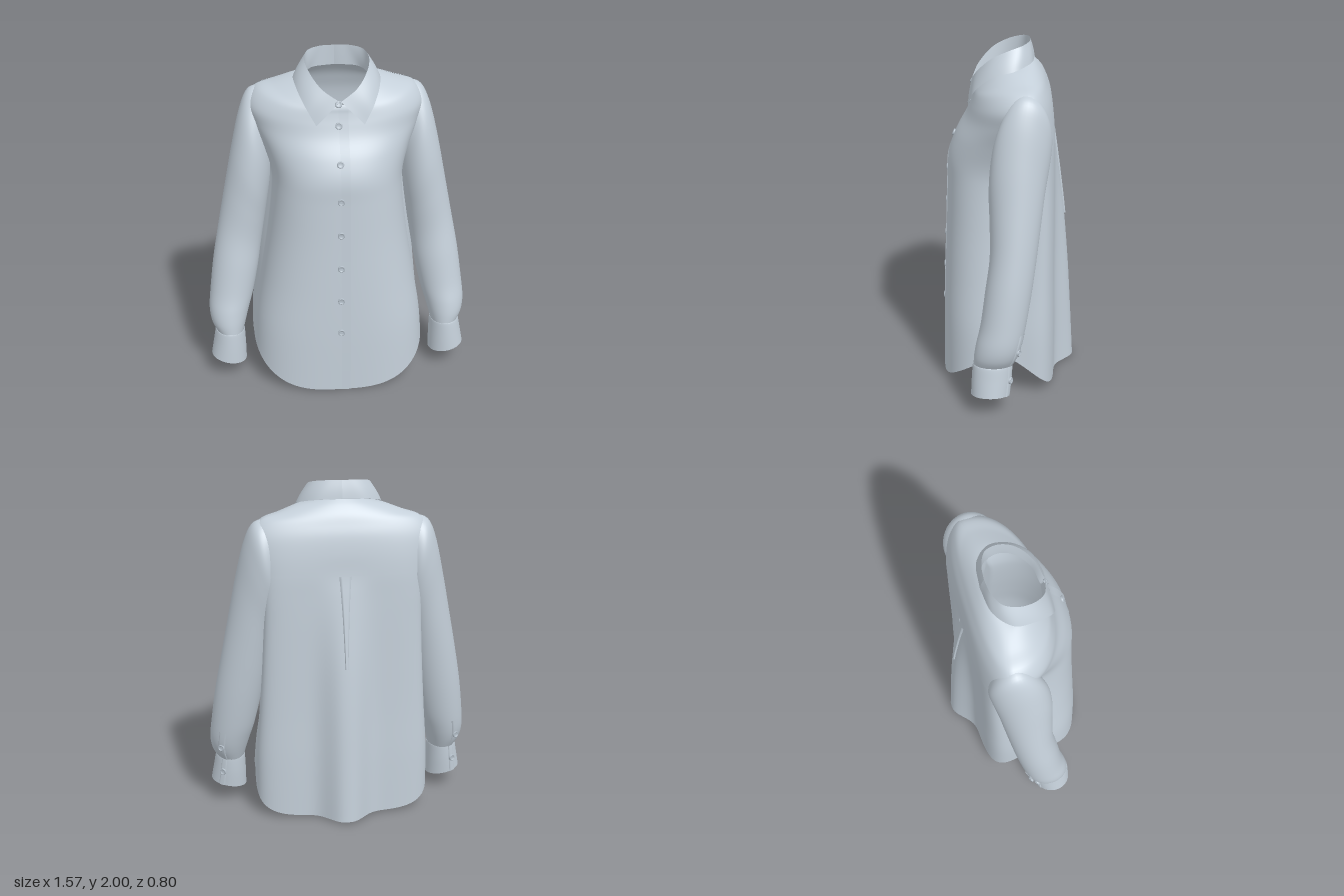
import * as THREE from 'three';

const fabric = new THREE.MeshStandardMaterial({ color: 0xc4cfd9, side: THREE.DoubleSide });
fabric.name = 'pale blue grey fabric';
const buttonMat = new THREE.MeshStandardMaterial({ color: 0xb4bfc9 });
buttonMat.name = 'grey button';

// Grid surface from f(u, v) -> [x, y, z], with u and v in 0..1
function surface(name, f, nu, nv, closed = false) {
  const pos = [], idx = [], cols = closed ? nu : nu + 1;
  for (let j = 0; j <= nv; j++)
    for (let i = 0; i < cols; i++) pos.push(...f(i / nu, j / nv));
  for (let j = 0; j < nv; j++)
    for (let i = 0; i < nu; i++) {
      const a = j * cols + i, b = j * cols + (i + 1) % cols;
      idx.push(a, a + cols, b, b, a + cols, b + cols);
    }
  const g = new THREE.BufferGeometry();
  g.setAttribute('position', new THREE.Float32BufferAttribute(pos, 3));
  g.setIndex(idx);
  g.computeVertexNormals();
  const m = new THREE.Mesh(g, fabric);
  m.name = name;
  return m;
}

// Smooth interpolation through a list of section descriptions
function sectionAt(rows, v) {
  const t = Math.min(Math.max(v, 0), 1) * (rows.length - 1);
  const i = Math.min(Math.floor(t), rows.length - 2), k = t - i;
  const r = (n) => rows[Math.min(Math.max(n, 0), rows.length - 1)];
  return rows[0].map((_, c) => {
    const [p, a, b, q] = [r(i - 1)[c], r(i)[c], r(i + 1)[c], r(i + 2)[c]];
    return a + 0.5 * k * (b - p + k * (2 * p - 5 * a + 4 * b - q + k * (3 * (a - b) + q - p)));
  });
}

// Body: half width side / back, y front / side / back, z front / back / centre,
// roundness front / back, back fullness
const BODY = [
  [0.52, 0.53, 0.00, 0.24, 0.01, 0.400, -0.270, 0.00, 3.0, 4.5, 0.125],
  [0.50, 0.54, 0.35, 0.42, 0.35, 0.395, -0.270, 0.02, 2.8, 4.5, 0.105],
  [0.455, 0.535, 0.65, 0.68, 0.65, 0.385, -0.265, 0.02, 2.6, 4.5, 0.09],
  [0.41, 0.53, 0.95, 0.95, 0.95, 0.372, -0.263, 0.02, 2.5, 4.5, 0.065],
  [0.38, 0.525, 1.20, 1.20, 1.20, 0.362, -0.262, 0.02, 2.5, 4.5, 0.035],
  [0.385, 0.52, 1.34, 1.33, 1.36, 0.355, -0.260, 0.00, 2.4, 4.5, 0.015],
  [0.43, 0.52, 1.46, 1.47, 1.48, 0.315, -0.258, -0.04, 2.3, 4.0, 0],
  [0.49, 0.53, 1.57, 1.60, 1.60, 0.255, -0.250, -0.08, 2.2, 3.2, 0],
  [0.515, 0.52, 1.65, 1.70, 1.70, 0.225, -0.235, -0.10, 2.2, 2.6, 0],
  [0.46, 0.46, 1.70, 1.785, 1.77, 0.210, -0.212, -0.10, 2.2, 2.3, 0],
  [0.36, 0.36, 1.725, 1.82, 1.82, 0.205, -0.190, -0.08, 2.2, 2.2, 0],
  [0.25, 0.25, 1.74, 1.858, 1.865, 0.200, -0.158, -0.045, 2.2, 2.2, 0],
  [0.185, 0.185, 1.75, 1.87, 1.895, 0.195, -0.128, 0.00, 2.2, 2.2, 0],
];
const fold = (x) => Math.exp(-(Math.abs(x / 0.125) ** 2.5));
function bodyPoint(angle, v) {
  const [hw, hwB, yF, yS, yB, zF, zB, zC, nF, nB, full] = sectionAt(BODY, v);
  const c = Math.cos(angle), s = Math.sin(angle), front = s > 0;
  const n = front ? nF : nB;
  const rad = (Math.abs(c) ** n + Math.abs(s) ** n) ** (-1 / n);
  const r = Math.abs(s) * rad;
  if (front) return [hw * c * rad, yS + (yF - yS) * r * r, zC + (zF - zC) * r];
  const x = (hw + (hwB - hw) * r) * c * rad;
  return [x, yS + (yB - yS) * r ** 1.3, zC + (zB - zC) * r - full * fold(x) * r];
}

// Sleeve: outer x, y, inner x, y, z front, z back
const SLEEVE = [
  [0.36, 1.785, 0.35, 1.50, -0.02, -0.17],
  [0.43, 1.79, 0.365, 1.40, 0.025, -0.21],
  [0.505, 1.762, 0.375, 1.31, 0.06, -0.235],
  [0.557, 1.65, 0.39, 1.21, 0.095, -0.225],
  [0.608, 1.44, 0.41, 1.10, 0.11, -0.20],
  [0.657, 1.20, 0.43, 0.98, 0.105, -0.178],
  [0.703, 0.97, 0.455, 0.83, 0.105, -0.155],
  [0.745, 0.75, 0.48, 0.68, 0.13, -0.13],
  [0.773, 0.55, 0.515, 0.52, 0.155, -0.10],
  [0.785, 0.43, 0.545, 0.42, 0.18, -0.075],
  [0.775, 0.35, 0.565, 0.35, 0.193, -0.05],
  [0.745, 0.29, 0.583, 0.283, 0.197, -0.02],
];
const CUFF = [
  [0.745, 0.288, 0.583, 0.280, 0.195, -0.015],
  [0.753, 0.298, 0.577, 0.288, 0.201, -0.022],
  [0.768, 0.220, 0.573, 0.190, 0.208, -0.018],
  [0.785, 0.130, 0.572, 0.085, 0.213, -0.008],
];
function tubePoint(rows, side, angle, v, grow = 1) {
  const [xo, yo, xi, yi, zF, zB] = sectionAt(rows, v);
  const c = Math.cos(angle) * grow / 2, s = Math.sin(angle) * grow / 2;
  return [side * ((xo + xi) / 2 + c * (xo - xi)), (yo + yi) / 2 + c * (yo - yi), (zF + zB) / 2 + s * (zF - zB)];
}

// Rimmed button with a stitch bar, facing along normal
const buttonGeo = new THREE.LatheGeometry(
  [[0.02, 0], [0.02, 0.007], [0.017, 0.01], [0.014, 0.009], [0.011, 0.005], [0, 0.005]].map((p) => new THREE.Vector2(...p)), 20);
const stitchGeo = new THREE.BoxGeometry(0.013, 0.004, 0.003).translate(0, 0.006, 0);
function button(name, p, normal) {
  const g = new THREE.Group();
  g.name = name;
  g.add(new THREE.Mesh(buttonGeo, buttonMat), new THREE.Mesh(stitchGeo, buttonMat));
  g.children[0].name = 'buttonDisc';
  g.children[1].name = 'buttonStitch';
  g.position.set(...p);
  g.quaternion.setFromUnitVectors(new THREE.Vector3(0, 1, 0), normal.normalize());
  return g;
}

export function createModel() {
  const shirt = new THREE.Group();
  shirt.name = 'shirt';
  const TAU = Math.PI * 2;
  shirt.add(surface('body', (u, v) => bodyPoint(u * TAU, v), 144, 72, true));

  // Back yoke, a thin layer over the shoulders
  shirt.add(surface('backYoke', (u, v) => {
    const [x, y, z] = bodyPoint(Math.PI * (1.06 + 0.88 * u), 0.5 + 0.48 * v);
    return [x, y + 0.002, z - 0.003];
  }, 56, 36));

  // Front button band, raised along its overlapping edge
  shirt.add(surface('buttonBand', (u, v) => {
    const [, , y, , , z] = sectionAt(BODY, v);
    return [-0.035 + 0.08 * u, y, z - 0.002 + 0.006 * u];
  }, 8, 72));

  // Back pleat, narrowing downwards
  shirt.add(surface('backPleat', (u, v) => {
    const s = sectionAt(BODY, 0.5 - 0.25 * v);
    const x = (u - 0.5) * 0.075 * (1 - 0.75 * v);
    const edge = u === 0 || u === 1;
    return [x, s[4], s[6] - s[10] * fold(x) - (edge ? -0.004 : 0.008)];
  }, 8, 24));

  // Front buttons
  for (const y of [1.76, 1.64, 1.445, 1.235, 1.03, 0.82, 0.61, 0.4]) {
    let v = 0;
    while (v < 1 && sectionAt(BODY, v)[2] < y) v += 0.002;
    const s = sectionAt(BODY, v), t = sectionAt(BODY, v - 0.02);
    const z = y > 1.7 ? 0.212 : s[5] + 0.001;
    shirt.add(button('frontButton', [-0.01, y, z], new THREE.Vector3(0, t[5] - s[5], s[2] - t[2])));
  }

  // Collar: outer edge, fold line and inner stand, mirrored about the middle
  const curve = (pts) => new THREE.CatmullRomCurve3(pts.map((p) => new THREE.Vector3(...p)));
  const outer = curve([[0.135, 1.645, 0.235], [0.19, 1.74, 0.195], [0.237, 1.83, 0.09], [0.24, 1.865, -0.03], [0.15, 1.892, -0.12], [0, 1.9, -0.144]]);
  const crease = curve([[0.004, 1.775, 0.215], [0.1, 1.84, 0.18], [0.165, 1.92, 0.1], [0.182, 1.965, 0.01], [0.155, 1.99, -0.07], [0.08, 2, -0.11], [0, 2, -0.12]]);
  const stand = curve([[0.004, 1.73, 0.19], [0.1, 1.77, 0.165], [0.165, 1.84, 0.08], [0.178, 1.865, 0], [0.135, 1.88, -0.09], [0, 1.885, -0.125]]);
  for (const side of [1, -1]) {
    const strip = (name, a, b, puff) => shirt.add(surface(name, (u, v) => {
      const p = a.getPoint(u).lerp(b.getPoint(u), v);
      const k = 1 + puff * Math.sin(Math.PI * v);
      return [side * p.x * k, p.y, p.z * k];
    }, 40, 8));
    strip('collarFall', outer, crease, 0.02);
    strip('collarStand', crease, stand, 0);
  }

  // Sleeves, cuffs, sleeve plackets and cuff buttons
  for (const side of [1, -1]) {
    const arm = new THREE.Group();
    arm.name = side > 0 ? 'leftSleeve' : 'rightSleeve';
    arm.add(surface('sleeve', (u, v) => tubePoint(SLEEVE, side, u * TAU, v), 48, 66, true));
    arm.add(surface('cuff', (u, v) => tubePoint(CUFF, side, u * TAU, v), 48, 18, true));
    const a0 = -1.1;
    const flap = (name, rows, v0, v1) => arm.add(surface(name, (u, v) => {
      const grow = u === 0 || u === 1 ? 0.98 : 1.04;
      return tubePoint(rows, side, a0 - 0.2 + 0.4 * u, v0 + (v1 - v0) * v, grow);
    }, 8, 12));
    flap('sleevePlacket', SLEEVE, 0.76, 1);
    flap('cuffOverlap', CUFF, 0.33, 1);
    const out = () => new THREE.Vector3(side * Math.cos(a0), 0, Math.sin(a0));
    arm.add(button('sleeveButton', tubePoint(SLEEVE, side, a0, 0.86, 1.04), out()));
    arm.add(button('cuffButton', tubePoint(CUFF, side, a0, 0.67, 1.04), out()));
    shirt.add(arm);
  }
  return shirt;
}
